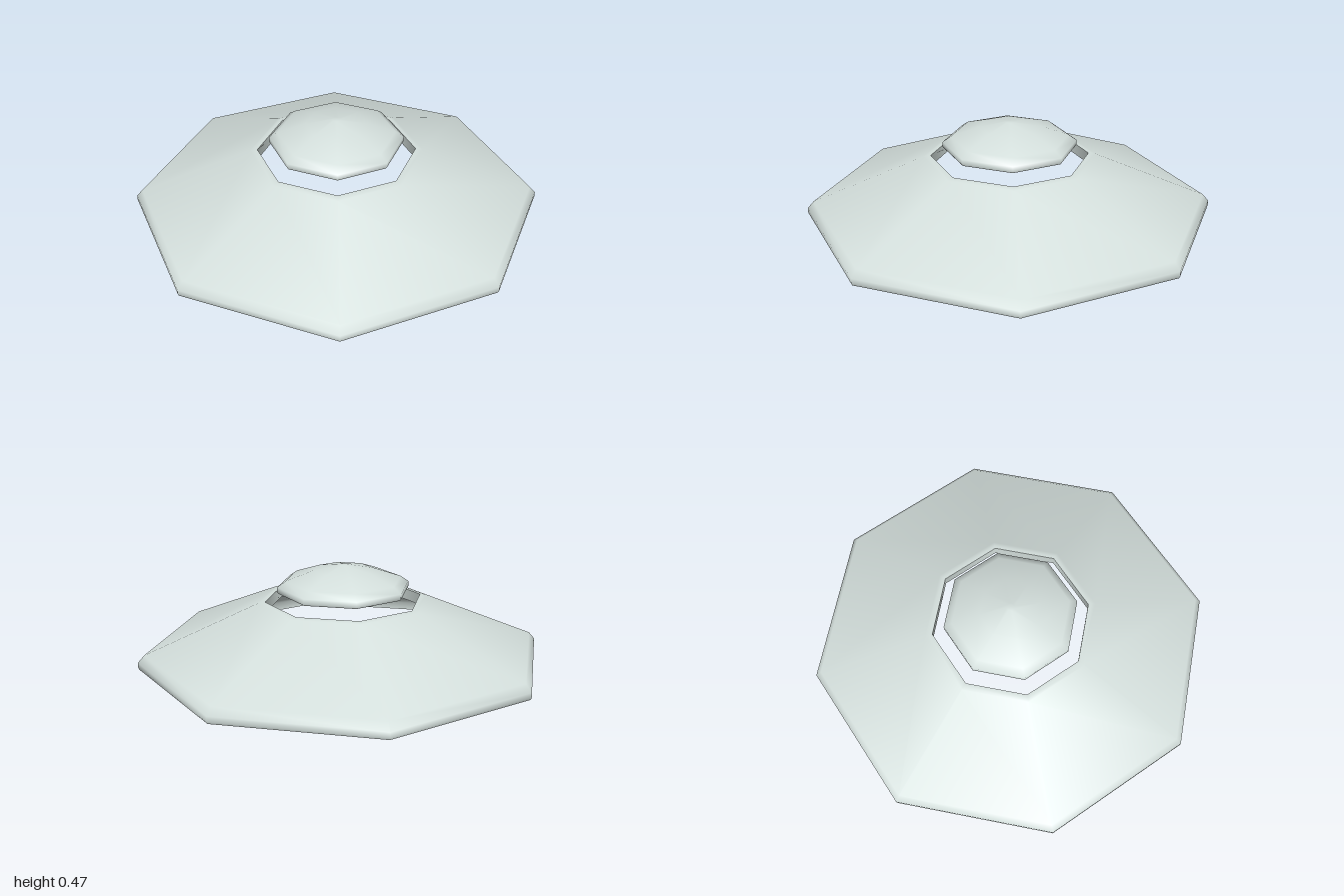
import * as THREE from 'three';

const SIDES = 8;

// Each run is a smooth strip of [radius, height]; runs meet at a crisp edge.
function octagonShell(name, runs, material) {
  const part = new THREE.Group();
  part.name = name;
  for (const [label, points] of Object.entries(runs)) {
    const profile = points.map(([r, y]) => new THREE.Vector2(r, y));
    const mesh = new THREE.Mesh(new THREE.LatheGeometry(profile, SIDES), material);
    mesh.name = name + label;
    part.add(mesh);
  }
  return part;
}

export function createModel() {
  const model = new THREE.Group();
  model.name = 'octagonalCanopy';

  const paleGrey = new THREE.MeshStandardMaterial({ color: 0xd4dfdc });
  paleGrey.name = 'paleGrey';

  // Wide sloping skirt, with a short collar hanging below its central opening
  model.add(octagonShell('skirt', {
    Outside: [
      [0.995, 0], [1, 0.01], [1, 0.035], [0.97, 0.07], [0.42, 0.3], [0.4, 0.305], [0.385, 0.305],
    ],
    CollarInside: [[0.385, 0.305], [0.385, 0.25]],
    CollarRim: [[0.385, 0.25], [0.4, 0.25]],
    Underside: [
      [0.4, 0.25], [0.405, 0.275], [0.43, 0.27], [0.93, 0.063], [0.955, 0.04], [0.955, 0],
    ],
    Rim: [[0.955, 0], [0.995, 0]],
  }, paleGrey));

  // Small hollow cap floating above the opening, its tip slightly blunted
  model.add(octagonShell('cap', {
    Outside: [
      [0.32, 0.343], [0.325, 0.35], [0.325, 0.375], [0.285, 0.403], [0.15, 0.45],
      [0.02, 0.474], [0, 0.474],
    ],
    Underside: [
      [0, 0.448], [0.02, 0.448], [0.14, 0.426], [0.265, 0.385], [0.285, 0.37], [0.285, 0.343],
    ],
    Rim: [[0.285, 0.343], [0.32, 0.343]],
  }, paleGrey));

  return model;
}
